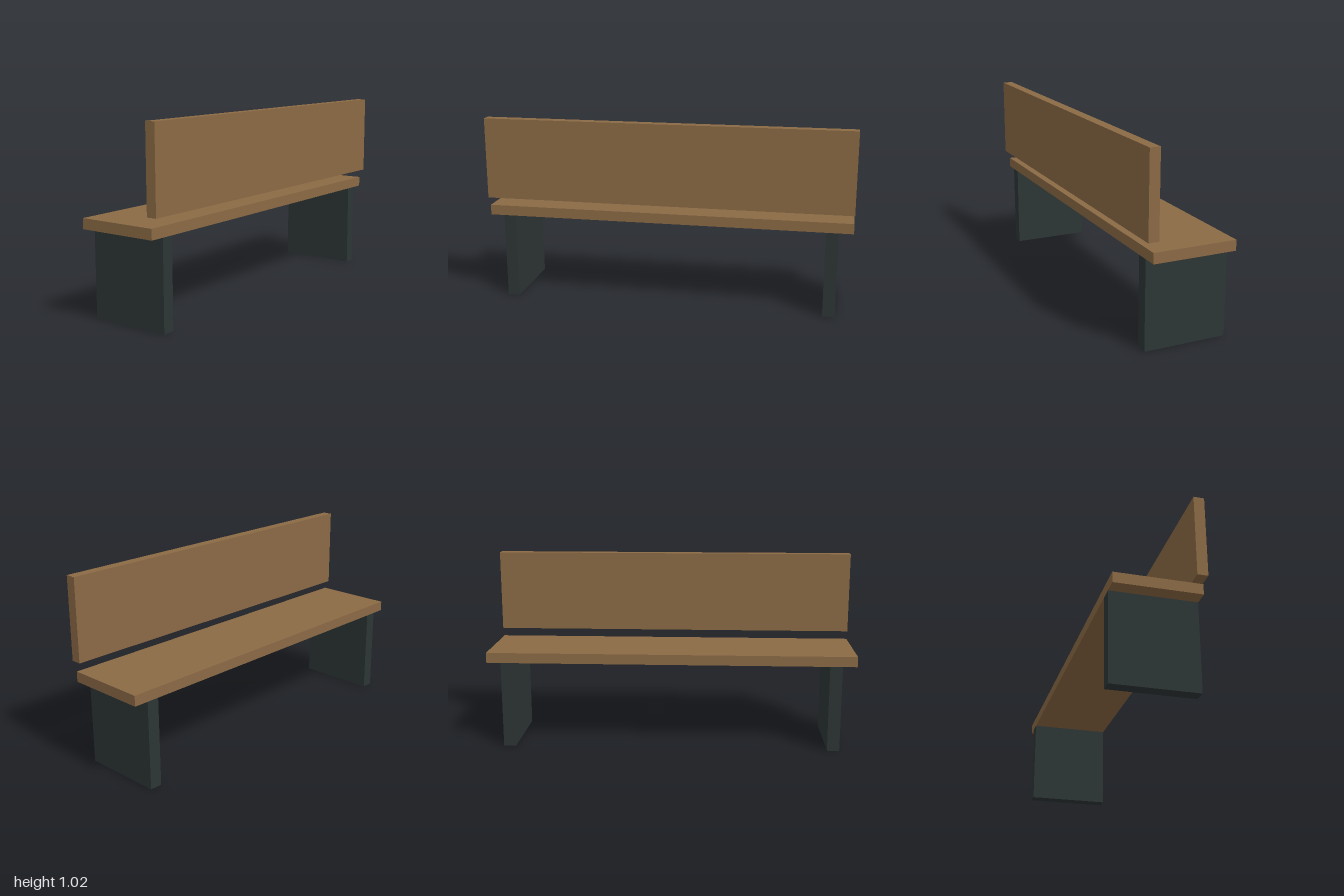
import * as THREE from 'three';

export function createModel() {
  const bench = new THREE.Group();
  bench.name = 'bench';

  const wood = new THREE.MeshStandardMaterial({ color: 0x8b6a45 });
  wood.name = 'brown wood';
  const metal = new THREE.MeshStandardMaterial({ color: 0x2d3535 });
  metal.name = 'dark metal';

  function addBoard(name, material, size, position) {
    const mesh = new THREE.Mesh(new THREE.BoxGeometry(...size), material);
    mesh.name = name;
    mesh.position.set(...position);
    bench.add(mesh);
  }

  const depth = 0.444, board = 0.0556, seatX = -0.0139;
  const legHeight = 0.472;

  // Seat plank and upright backrest, both running the full length
  addBoard('seat', wood, [depth, board, 2], [seatX, 0.5, 0]);
  addBoard('backrest', wood, [board, 0.444, 2], [0.2083, 0.8, 0]);

  // Slab legs near both ends
  for (const [name, side] of [['frontLeg', 1], ['rearLeg', -1]]) {
    addBoard(name, metal, [depth, legHeight, 0.0667], [seatX, legHeight / 2, side * 0.889]);
  }

  return bench;
}
